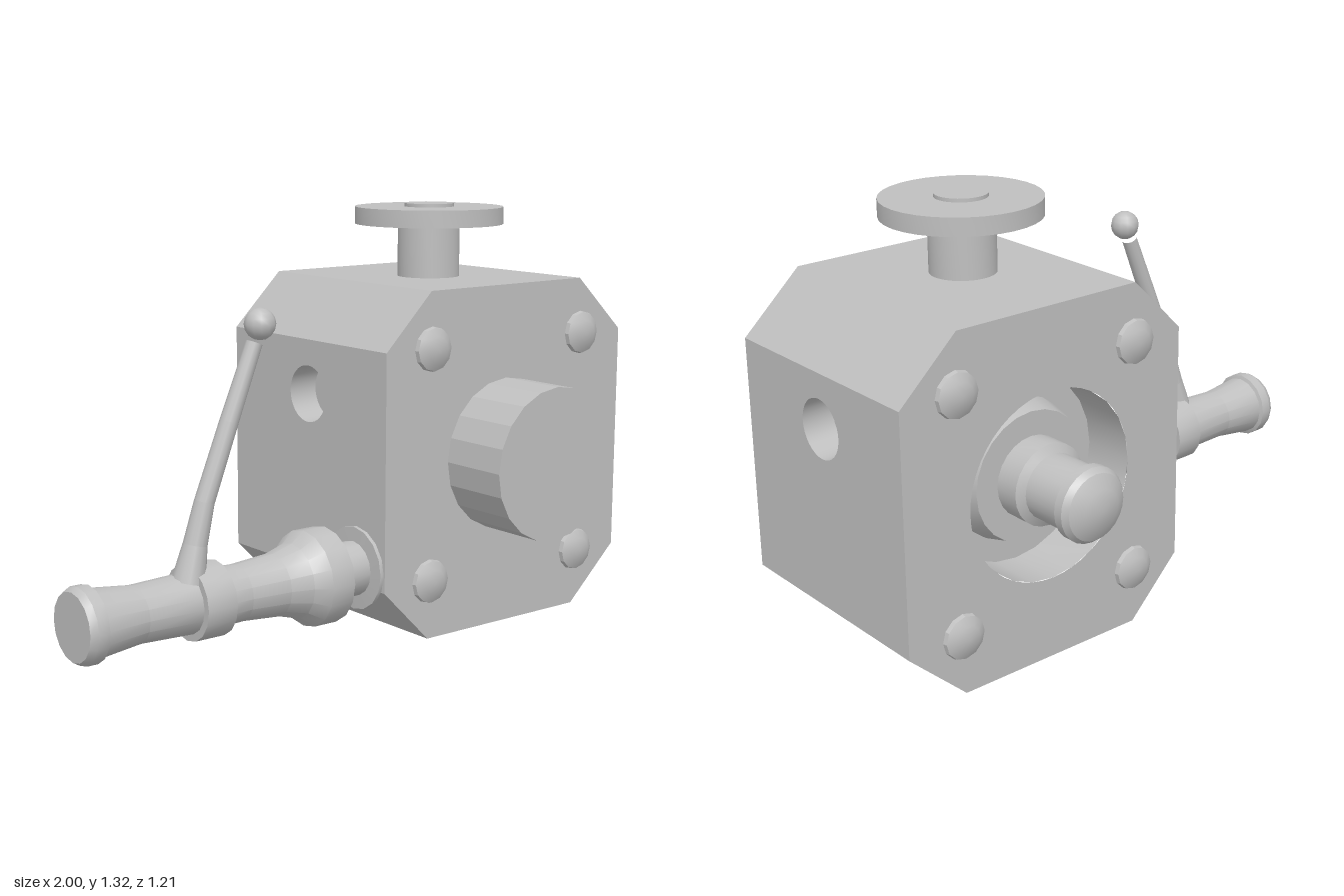
import * as THREE from 'three';
import { toCreasedNormals } from 'three/addons/utils/BufferGeometryUtils.js';

export function createModel() {
  const model = new THREE.Group();
  model.name = 'valveBlock';
  const metal = new THREE.MeshStandardMaterial({ color: 0xbfbfbf });
  metal.name = 'grey metal';
  const UP = new THREE.Vector3(0, 1, 0);
  const v = (x, y, z) => new THREE.Vector3(x, y, z);

  function add(name, geometry, parent = model) {
    const mesh = new THREE.Mesh(geometry, metal);
    mesh.name = name;
    parent.add(mesh);
    return mesh;
  }

  // Turned part: profile of [radius, height], with its axis along dir
  function turned(name, profile, origin, dir, segments = 24, crease = 0.5) {
    const points = profile.map(([r, h]) => new THREE.Vector2(r, h));
    const mesh = add(name, toCreasedNormals(new THREE.LatheGeometry(points, segments), crease));
    mesh.position.copy(origin);
    mesh.quaternion.setFromUnitVectors(UP, dir);
    return mesh;
  }

  function circleHole(shape, x, y, r) {
    const hole = new THREE.Path();
    hole.absarc(x, y, r, 0, Math.PI * 2, true);
    shape.holes.push(hole);
  }

  // Block: chamfered outline, counter-clockwise from the front
  const back = -0.385, front = 0.38, cx = 0.49, cy = 0.545;
  const outline = [[0.175, 0], [0.81, 0], [1, 0.175], [1, 0.905],
    [0.81, 1.083], [0.175, 1.083], [0, 0.91], [0, 0.175]]
    .map(([x, y]) => new THREE.Vector2(x, y));
  const block = new THREE.Group();
  block.name = 'block';
  model.add(block);

  add('frontFace', new THREE.ShapeGeometry(new THREE.Shape(outline)), block).position.z = front;

  const backShape = new THREE.Shape(outline.map((p) => new THREE.Vector2(-p.x, p.y)).reverse());
  circleHole(backShape, -cx, cy, 0.29);
  const backFace = add('backFace', new THREE.ShapeGeometry(backShape, 24), block);
  backFace.rotation.y = Math.PI;
  backFace.position.z = back;

  // Walls around the outline, with a round port in both upright sides
  const portY = 0.738, portR = 0.09;
  outline.forEach((a, i) => {
    const b = outline[(i + 1) % outline.length];
    const length = a.distanceTo(b);
    const along = v(b.x - a.x, b.y - a.y, 0).normalize();
    const normal = v(along.y, -along.x, 0);
    const wall = new THREE.Shape([[0, back], [length, back], [length, front], [0, front]]
      .map(([x, y]) => new THREE.Vector2(x, y)));
    const upright = Math.abs(normal.x) > 0.99;
    if (upright) circleHole(wall, Math.abs(portY - a.y), 0, portR);
    const geometry = new THREE.ShapeGeometry(wall, 16);
    geometry.applyMatrix4(new THREE.Matrix4()
      .makeBasis(along, v(0, 0, 1), normal).setPosition(a.x, a.y, 0));
    add('blockWall', geometry, block);
    if (upright) {
      turned('sidePort', [[portR, 0], [portR, -0.1], [0, -0.1]], v(a.x, portY, 0), normal, 32);
    }
  });

  // Front boss
  turned('frontBoss', [[0.24, 0], [0.24, 0.227], [0, 0.227]],
    v(cx, 0.55, front - 0.002), v(0, 0, 1), 20, 0.2);

  // Back recess, its raised seat and the domed shaft in one profile
  turned('backRecessAndShaft', [[0.29, 0], [0.29, -0.17], [0.22, -0.17], [0.2, -0.09],
    [0.125, -0.09], [0.125, -0.01], [0.1, 0.005], [0.1, 0.14], [0.113, 0.143], [0.113, 0.172],
    [0.1, 0.19], [0.06, 0.213], [0, 0.222]], v(cx, cy, back), v(0, 0, -1), 24, 0.4);

  // Domed bolts on the front and back
  for (const x of [0.18, 0.817]) {
    for (const y of [0.907, 0.185]) {
      for (const s of [-1, 1]) {
        turned('bolt', [[0.069, 0], [0.066, 0.013], [0.04, 0.027], [0, 0.033]],
          v(x, y, s > 0 ? front : back), v(0, 0, s), 12, 0.4);
      }
    }
  }

  // Top stem and hand wheel
  turned('topWheel', [[0.1, 0], [0.1, 0.172], [0.24, 0.172], [0.24, 0.227],
    [0.08, 0.227], [0.08, 0.238], [0, 0.238]], v(0.475, 1.08, 0.025), UP, 32, 0.3);

  // Side spout, running out from the block
  const spoutZ = 0.245;
  turned('spout', [[0.13, 0], [0.13, 0.012], [0.085, 0.014], [0.085, 0.125], [0.148, 0.125],
    [0.148, 0.205], [0.115, 0.25], [0.095, 0.32], [0.085, 0.45], [0.088, 0.525], [0.112, 0.525],
    [0.112, 0.625], [0.09, 0.625], [0.084, 0.8], [0.1, 0.94], [0.112, 0.945],
    [0.112, 0.98], [0.1, 1], [0, 1]], v(0, 0.23, spoutZ), v(-1, 0, 0), 16, 0.4);

  // Bent lever with a round knob
  const path = [[-0.628, 0.3, 0.05], [-0.605, 0.4, 0.036], [-0.572, 0.52, 0.03],
    [-0.485, 0.74, 0.028], [-0.395, 0.96, 0.025]];
  const lever = new THREE.Group();
  lever.name = 'lever';
  model.add(lever);
  for (let i = 0; i < path.length - 1; i++) {
    const [x0, y0, r0] = path[i], [x1, y1, r1] = path[i + 1];
    const dir = v(x1 - x0, y1 - y0, 0);
    const arm = add('leverArm',
      new THREE.CylinderGeometry(r1, r0, dir.length() + 0.006, 12, 1, true), lever);
    arm.position.set((x0 + x1) / 2, (y0 + y1) / 2, 0.26);
    arm.quaternion.setFromUnitVectors(UP, dir.normalize());
  }
  add('leverKnob', new THREE.SphereGeometry(0.047, 12, 8), lever).position.set(-0.373, 1.015, 0.26);

  return model;
}
